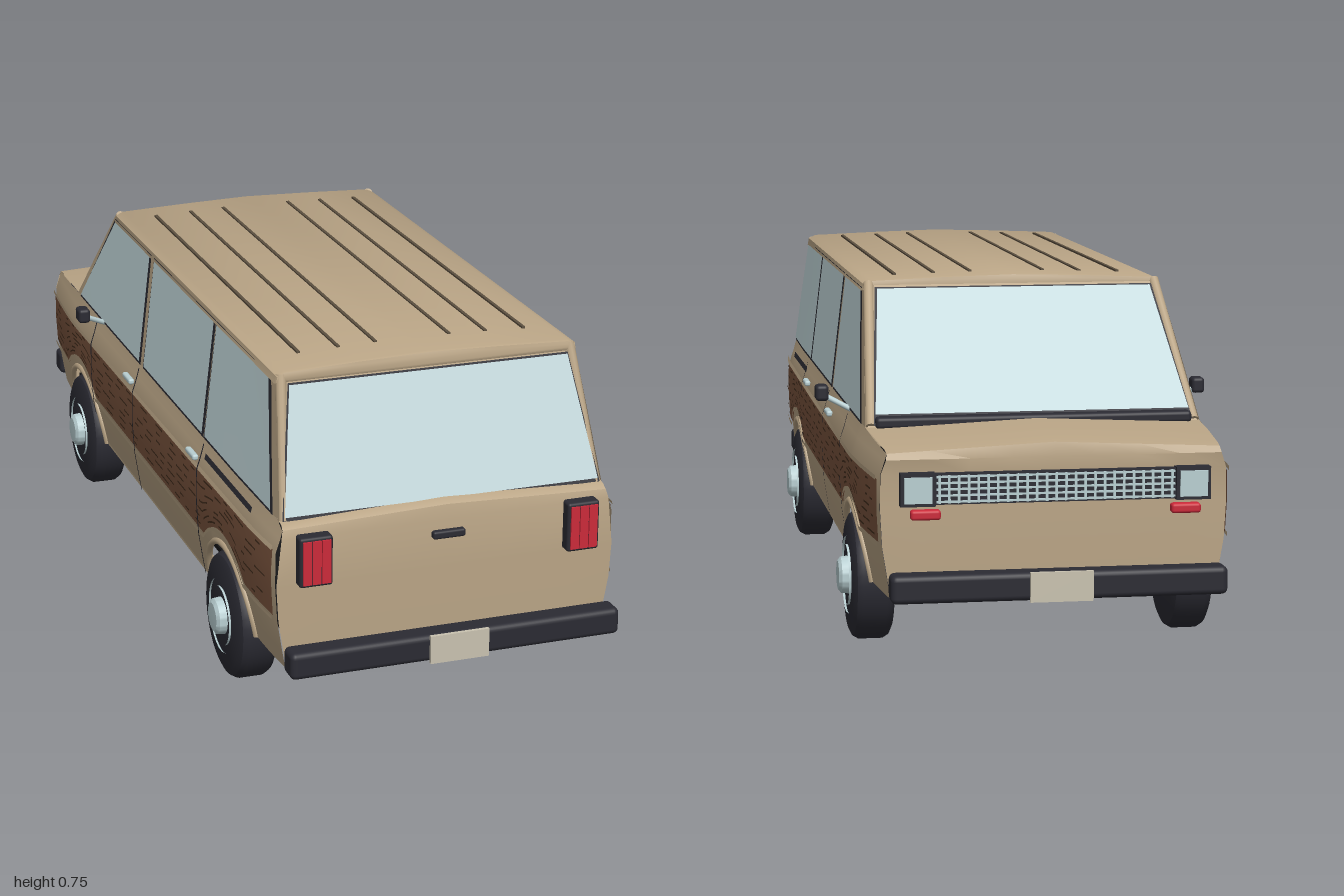
import * as THREE from 'three';
import { toCreasedNormals } from 'three/addons/utils/BufferGeometryUtils.js';
import { RoundedBoxGeometry } from 'three/addons/geometries/RoundedBoxGeometry.js';

const mat = (name, color, side = THREE.FrontSide) => {
  const m = new THREE.MeshStandardMaterial({ color, side });
  m.name = name;
  return m;
};
const lerp = THREE.MathUtils.lerp;

// Body side section: [height, half width], sill to roof
const PROFILE = [[0.15, 0.35], [0.19, 0.357], [0.255, 0.367], [0.33, 0.371], [0.4, 0.37], [0.43, 0.36], [0.46, 0.352], [0.725, 0.32]];
const AXLES = [0.6, -0.58];

// Half width of the car at height y and length z
function halfWidth(y, z) {
  let i = 0;
  while (i < PROFILE.length - 2 && y > PROFILE[i + 1][0]) i++;
  const [a, b] = [PROFILE[i], PROFILE[i + 1]];
  const w = lerp(a[1], b[1], (y - a[0]) / (b[0] - a[0]));
  const front = Math.max(0, (-0.6 - z) / 0.32), rear = Math.max(0, (z - 0.75) / 0.17);
  return w - 0.022 * front ** 1.5 - 0.008 * rear ** 2;
}
// Height of an arch over the wheels, or base level between them
function archLine(z, base, half, rise) {
  return AXLES.reduce((y, c) => {
    const d = (z - c) / half;
    return Math.abs(d) < 1 ? Math.max(y, 0.15 + rise * Math.sqrt(1 - d * d)) : y;
  }, base);
}
const sillLine = z => archLine(z, 0.15, 0.152, 0.138);
const woodLow = z => archLine(z, 0.264, 0.185, 0.17);
const woodHigh = z => 0.398 + 0.009 * z;
const beltLine = z => z < -0.66 ? lerp(0.46, 0.442, (-0.66 - z) / 0.25) : z > 0.88 ? lerp(0.46, 0.447, (z - 0.88) / 0.035) : 0.46;

// Surface from a rule fn(u, v) -> [x, y, z]
function grid(fn, nu, nv, flip) {
  const pos = [], idx = [];
  for (let j = 0; j <= nv; j++) for (let i = 0; i <= nu; i++) pos.push(...fn(i / nu, j / nv));
  for (let j = 0; j < nv; j++) for (let i = 0; i < nu; i++) {
    const a = j * (nu + 1) + i, b = a + 1, c = a + nu + 1, d = c + 1;
    idx.push(...(flip ? [a, c, b, b, c, d] : [a, b, c, b, d, c]));
  }
  const g = new THREE.BufferGeometry();
  g.setAttribute('position', new THREE.Float32BufferAttribute(pos, 3));
  g.setIndex(idx);
  return toCreasedNormals(g, 0.6);
}

export function createModel() {
  const car = new THREE.Group();
  car.name = 'stationWagon';
  const D = THREE.DoubleSide;
  const tan = mat('tanPaint', 0xbaa586, D), dark = mat('darkTrim', 0x2b2b33, D), wood = mat('woodPanel', 0x7d563f, D);
  const grain = mat('woodGrain', 0x46301f, D), glass = mat('glass', 0xc4d9dc, D), chrome = mat('chrome', 0xb9cfd2);
  const red = mat('redLens', 0xcc2a3a), cream = mat('plateCream', 0xc9c2b0), black = mat('underbodyBlack', 0x151517);
  const rib = mat('roofGroove', 0x5c5040);

  const add = (name, geo, material, x = 0, y = 0, z = 0) => {
    const m = new THREE.Mesh(geo, material);
    m.name = name;
    m.position.set(x, y, z);
    car.add(m);
    return m;
  };
  const box = (name, material, w, h, d, x, y, z) => add(name, new THREE.BoxGeometry(w, h, d), material, x, y, z);
  const rbox = (name, material, w, h, d, x, y, z, r) => add(name, new RoundedBoxGeometry(w, h, d, 3, r), material, x, y, z);
  const rod = (name, material, a, b, r) => {
    const p = new THREE.Vector3(...a), q = new THREE.Vector3(...b);
    const m = add(name, new THREE.CylinderGeometry(r, r, p.distanceTo(q), 12), material);
    m.position.copy(p).lerp(q, 0.5);
    m.quaternion.setFromUnitVectors(new THREE.Vector3(0, 1, 0), q.sub(p).normalize());
  };
  // Skin on side s following the body; rule(u, v) -> [z, y]
  const skin = (name, material, s, rule, nu, nv, off) => add(name, grid((u, v) => {
    const [z, y] = rule(u, v);
    return [s * (halfWidth(y, z) + off), y, z];
  }, nu, nv, s > 0), material);
  // Band between two height rules from z0 to z1
  const band = (name, material, s, z0, z1, lo, hi, n, off, rows = 1) => skin(name, material, s, (u, v) => {
    const z = lerp(z0, z1, u);
    return [z, lerp(lo(z), hi(z), v)];
  }, n, rows, off);
  // Four-sided pane: z at rear/front of the bottom and top edges
  const pane = (name, material, s, y0, y1, fb, rb, ft, rt, off) => skin(name, material, s,
    (u, v) => [lerp(lerp(fb, rb, u), lerp(ft, rt, u), v), lerp(y0, y1, v)], 2, 2, off);
  // Skin across the car through a path of [z, y], with a peaked centre
  const across = (name, material, path, crown) => add(name, grid((u, v) => {
    const [z, y] = path[Math.round(v * (path.length - 1))], w = 2 * u - 1;
    return [w * halfWidth(y, z), y + (y > 0.43 ? crown * (1 - Math.abs(w)) : 0), z];
  }, 8, path.length - 1, path[0][0] > 0), material);
  // Flat pane across the car: bottom and top edge as [half width, y, z]
  const screen = (name, material, b, t) => add(name, grid((u, v) => {
    const w = 2 * u - 1;
    return [w * lerp(b[0], t[0], v), lerp(b[1], t[1], v), lerp(b[2], t[2], v)];
  }, 1, 1, b[2] < 0), material);

  for (const s of [1, -1]) {
    // Lower side panel with open wheel arches
    skin('sidePanel', tan, s, (u, v) => {
      const z = lerp(-0.912, 0.916, u), y = PROFILE[Math.round(v * 6)][0];
      return [z, Math.max(sillLine(z), Math.min(y, beltLine(z)))];
    }, 240, 6, 0);
    // Wood panelling with trim and grain
    band('woodPanel', wood, s, -0.9, 0.905, woodLow, woodHigh, 180, 0.004, 4);
    band('woodTrimTop', tan, s, -0.905, 0.908, woodHigh, z => woodHigh(z) + 0.009, 40, 0.008);
    band('woodTrimBottom', tan, s, -0.905, 0.908, z => woodLow(z) - 0.008, woodLow, 180, 0.008);
    let seed = 7;
    const rnd = () => (seed = (seed * 16807) % 2147483647) / 2147483647;
    for (let row = 0; row < 7; row++) for (let z = -0.88 + rnd() * 0.06; z < 0.84;) {
      const len = 0.02 + rnd() * 0.05, t = (row + 0.6 + rnd() * 0.2) / 7.4;
      const line = q => lerp(woodLow(q), woodHigh(q), t);
      band('woodGrain', grain, s, z, z + len, line, q => line(q) + 0.004, 4, 0.0065);
      z += len + 0.02 + rnd() * 0.07;
    }
    // Door seams, handles and rear trim strip
    for (const z of [0.43, -0.08, -0.45])
      band('doorSeam', dark, s, z - 0.003, z + 0.003, q => Math.max(0.16, sillLine(q)), () => 0.458, 1, 0.009, 16);
    band('rearTrimStrip', dark, s, 0.445, 0.765, () => 0.429, () => 0.441, 8, 0.005);
    for (const z of [0.37, -0.14]) rbox('doorHandle', chrome, 0.014, 0.013, 0.06, s * 0.371, 0.415, z, 0.005);
    // Arch lips and sills
    for (const c of AXLES) {
      const pts = Array.from({ length: 25 }, (_, i) => {
        const a = Math.PI * i / 24, z = c + 0.155 * Math.cos(a), y = 0.15 + 0.141 * Math.sin(a);
        return new THREE.Vector3(s * (halfWidth(y, z) + 0.001), y, z);
      });
      add('archLip', new THREE.TubeGeometry(new THREE.CatmullRomCurve3(pts), 40, 0.007, 6), tan);
    }
    box('sill', tan, 0.03, 0.015, 0.87, s * 0.336, 0.158, 0.01);

    // Upper side frame, window seals and glass
    pane('windowFrame', tan, s, 0.455, 0.725, -0.68, 0.895, -0.41, 0.8, 0);
    for (const [fb, rb, ft, rt] of [[0.415, 0.855, 0.415, 0.765], [-0.062, 0.395, -0.062, 0.395], [-0.63, -0.1, -0.395, -0.1]]) {
      pane('windowSeal', dark, s, 0.461, 0.72, fb - 0.009, rb + 0.009, ft - 0.007, rt + 0.009, 0.003);
      pane('sideWindow', glass, s, 0.468, 0.714, fb, rb, ft, rt, 0.005);
    }
    // Rounded corner pillars
    rod('rearPillar', tan, [s * 0.336, 0.455, 0.888], [s * 0.31, 0.728, 0.793], 0.011);
    rod('frontPillar', tan, [s * 0.338, 0.46, -0.672], [s * 0.31, 0.728, -0.402], 0.011);
    // Mirror
    rod('mirrorArm', chrome, [s * 0.345, 0.458, -0.42], [s * 0.405, 0.488, -0.395], 0.006);
    rbox('mirror', dark, 0.028, 0.034, 0.04, s * 0.411, 0.495, -0.393, 0.008);
    // Tail lamps
    rbox('tailLampFrame', dark, 0.07, 0.106, 0.034, s * 0.287, 0.384, 0.93, 0.006);
    for (let i = -1; i <= 1; i++) box('tailLamp', red, 0.018, 0.092, 0.006, s * (0.287 + i * 0.02), 0.384, 0.948);
    // Headlamps and indicators
    box('headlampFrame', dark, 0.07, 0.066, 0.03, s * 0.277, 0.372, -0.925);
    box('headlamp', chrome, 0.056, 0.052, 0.008, s * 0.277, 0.372, -0.941);
    rbox('indicator', red, 0.06, 0.02, 0.024, s * 0.262, 0.322, -0.932, 0.006);

    // Wheels
    for (const z of AXLES) {
      const wheel = new THREE.Group();
      wheel.name = 'wheel';
      const part = (name, pts, material) => {
        const m = new THREE.Mesh(toCreasedNormals(new THREE.LatheGeometry(pts.map(p => new THREE.Vector2(...p)), 40), 0.6), material);
        m.name = name;
        wheel.add(m);
      };
      part('tyre', [[0, -0.042], [0.115, -0.042], [0.128, -0.036], [0.135, -0.024], [0.135, 0.024], [0.128, 0.036], [0.115, 0.042], [0, 0.042]], dark);
      part('wheelRing', [[0.063, 0.04], [0.064, 0.047], [0.079, 0.047], [0.083, 0.04]], chrome);
      part('hubCap', [[0.04, 0.04], [0.038, 0.058], [0.03, 0.064], [0, 0.065]], chrome);
      wheel.rotation.z = -s * Math.PI / 2;
      wheel.position.set(s * 0.335, 0.135, z);
      car.add(wheel);
    }
  }

  // Tailgate, bonnet and nose
  across('tailgate', tan, [[0.88, 0.46], [0.905, 0.455], [0.916, 0.447], [0.922, 0.43], [0.922, 0.33], [0.922, 0.255], [0.92, 0.15]], 0.012);
  across('bonnetAndNose', tan, [[-0.65, 0.46], [-0.76, 0.455], [-0.89, 0.446], [-0.912, 0.442], [-0.92, 0.43], [-0.915, 0.4], [-0.915, 0.33], [-0.915, 0.255], [-0.912, 0.15]], 0.016);
  rbox('tailgateHandle', dark, 0.07, 0.017, 0.02, 0, 0.4, 0.924, 0.005);

  // Rear window and windscreen
  screen('rearFrame', tan, [0.342, 0.457, 0.891], [0.318, 0.725, 0.798]);
  screen('rearSeal', dark, [0.342, 0.458, 0.898], [0.301, 0.714, 0.809]);
  screen('rearWindow', glass, [0.337, 0.466, 0.899], [0.299, 0.711, 0.813]);
  screen('windscreenFrame', tan, [0.345, 0.457, -0.68], [0.318, 0.725, -0.41]);
  screen('windscreenSeal', dark, [0.333, 0.464, -0.685], [0.3, 0.722, -0.425]);
  screen('windscreen', glass, [0.328, 0.485, -0.67], [0.295, 0.72, -0.433]);
  rbox('cowl', dark, 0.66, 0.024, 0.036, 0, 0.469, -0.677, 0.008);

  // Roof with slim grooves
  const roof = new THREE.Shape([[-0.325, 0.712], [0.325, 0.712], [0.322, 0.728], [0.305, 0.736], [0.15, 0.742], [0, 0.746], [-0.15, 0.742], [-0.305, 0.736], [-0.322, 0.728]].map(p => new THREE.Vector2(...p)));
  const roofGeo = new THREE.ExtrudeGeometry(roof, { depth: 1.198, bevelSize: 0.008, bevelOffset: -0.008, bevelThickness: 0.008, bevelSegments: 2 });
  add('roof', toCreasedNormals(roofGeo, 0.6), tan, 0, 0, -0.402);
  for (const x of [-0.245, -0.16, -0.08, 0.08, 0.16, 0.245])
    box('roofRib', rib, 0.007, 0.008, 1.04, x, 0.745 - 0.027 * Math.abs(x), 0.19);

  // Grille lattice
  box('grille', dark, 0.49, 0.062, 0.02, 0, 0.372, -0.922);
  for (let i = 0; i < 25; i++) box('grilleBar', chrome, 0.005, 0.056, 0.005, -0.234 + i * 0.0195, 0.372, -0.934);
  for (let i = 0; i < 5; i++) box('grilleSlat', chrome, 0.48, 0.004, 0.005, 0, 0.347 + i * 0.0125, -0.934);

  // Bumpers and blank plates
  for (const [s, w] of [[1, 0.71], [-1, 0.675]]) {
    rbox('bumper', dark, w, 0.057, 0.054, 0, 0.183, s * 0.966, 0.012);
    for (const x of [-0.2, 0.2]) box('bumperBracket', dark, 0.04, 0.03, 0.05, x, 0.18, s * 0.93);
    box('numberPlate', cream, 0.126, 0.06, 0.008, 0, 0.183, s * 0.996);
  }

  // Underside
  box('floor', black, 0.6, 0.012, 1.78, 0, 0.165, 0);
  for (const z of AXLES) rod('axle', dark, [-0.31, 0.133, z], [0.31, 0.133, z], 0.014);

  return car;
}
